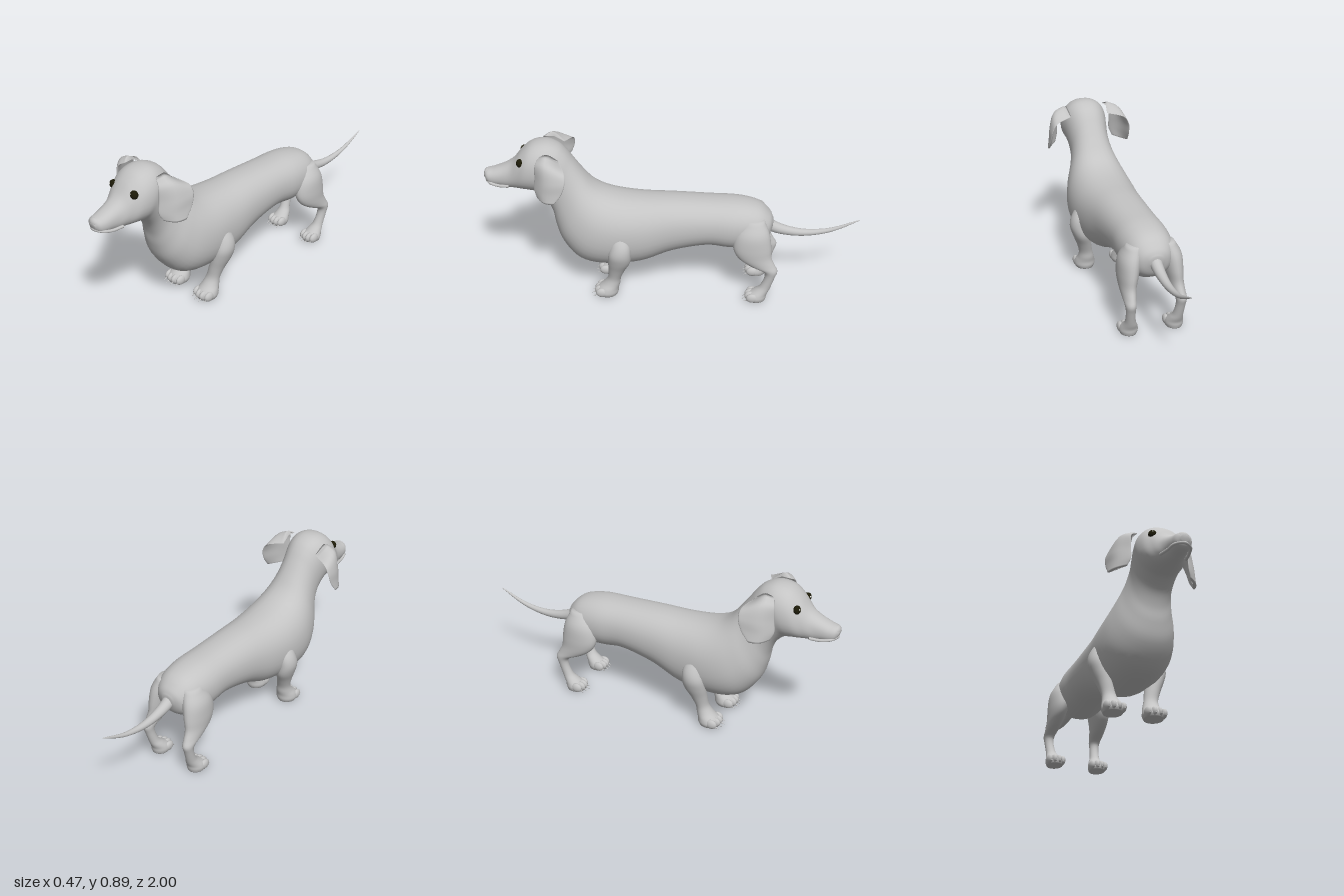
import * as THREE from 'three';

const coat = new THREE.MeshStandardMaterial({ color: 0xc4c4c4 });
coat.name = 'grey coat';
const eyeDark = new THREE.MeshStandardMaterial({ color: 0x1c1a08 });
eyeDark.name = 'dark eye';
const white = new THREE.MeshStandardMaterial({ color: 0xf2f2ec });
white.name = 'white glint';

const V = (x, y, z) => new THREE.Vector3(x, y, z);

// Closed smooth skin through rings of points, with rounded spline steps between rings
function loft(rings, steps) {
  const n = rings[0].length;
  const count = (rings.length - 1) * steps + 1;
  const columns = rings[0].map((_, j) => new THREE.CatmullRomCurve3(rings.map(r => r[j]), false, 'catmullrom', 0.5));
  const pos = [], index = [];
  for (let i = 0; i < count; i++) {
    for (let j = 0; j < n; j++) pos.push(...columns[j].getPoint(i / (count - 1)).toArray());
  }
  for (let i = 0; i < count - 1; i++) {
    for (let j = 0; j < n; j++) {
      const a = i * n + j, b = i * n + (j + 1) % n;
      index.push(a, b, a + n, b, b + n, a + n);
    }
  }
  // End caps
  for (const [row, flip] of [[0, true], [count - 1, false]]) {
    const c = V(0, 0, 0);
    for (let j = 0; j < n; j++) c.add(V().fromArray(pos, (row * n + j) * 3));
    c.divideScalar(n);
    const ci = pos.length / 3;
    pos.push(c.x, c.y, c.z);
    for (let j = 0; j < n; j++) {
      const a = row * n + j, b = row * n + (j + 1) % n;
      index.push(...(flip ? [ci, b, a] : [ci, a, b]));
    }
  }
  // Turn faces outwards if the signed volume is negative
  let volume = 0;
  const p = i => V().fromArray(pos, i * 3);
  for (let i = 0; i < index.length; i += 3) {
    volume += p(index[i]).dot(p(index[i + 1]).cross(p(index[i + 2])));
  }
  if (volume < 0) index.reverse();
  const g = new THREE.BufferGeometry();
  g.setAttribute('position', new THREE.Float32BufferAttribute(pos, 3));
  g.setIndex(index);
  g.computeVertexNormals();
  return g;
}

function add(parent, name, geometry, material = coat) {
  const m = new THREE.Mesh(geometry, material);
  m.name = name;
  parent.add(m);
  return m;
}

function ball(parent, name, c, r, material = coat) {
  const m = add(parent, name, new THREE.SphereGeometry(1, 20, 14), material);
  m.position.set(...c);
  m.scale.set(...r);
  return m;
}

// Ring spanning a top and a bottom point of the side profile: [zTop, yTop, zBottom, yBottom, halfWidth]
function profileRing([zt, yt, zb, yb, w]) {
  return Array.from({ length: 36 }, (_, j) => {
    const a = j / 36 * Math.PI * 2, c = Math.cos(a), s = Math.sin(a);
    const t = (1 - Math.sign(c) * Math.abs(c) ** 0.92) / 2;
    return V(Math.sign(s) * Math.abs(s) ** 0.88 * w, yt + (yb - yt) * t, zt + (zb - zt) * t);
  });
}

// Level ring of a leg: [y, x, z, radiusX, radiusZ]
const legRing = side => ([y, x, z, rx, rz]) => Array.from({ length: 24 }, (_, j) => {
  const a = j / 24 * Math.PI * 2;
  return V(side * (x + rx * Math.cos(a)), y, z + rz * Math.sin(a));
});

// Rump to nose
const BODY = [
  [-0.54, 0.45, -0.535, 0.40, 0.03], [-0.52, 0.49, -0.50, 0.33, 0.085],
  [-0.46, 0.54, -0.42, 0.29, 0.125], [-0.35, 0.565, -0.30, 0.29, 0.14],
  [-0.20, 0.57, -0.18, 0.30, 0.138], [0, 0.575, 0, 0.26, 0.15],
  [0.15, 0.575, 0.17, 0.19, 0.17], [0.27, 0.585, 0.36, 0.17, 0.185],
  [0.36, 0.61, 0.50, 0.20, 0.18], [0.42, 0.65, 0.59, 0.30, 0.155],
  [0.47, 0.71, 0.625, 0.40, 0.125], [0.52, 0.78, 0.64, 0.48, 0.11],
  [0.56, 0.835, 0.67, 0.55, 0.112], [0.60, 0.87, 0.72, 0.60, 0.12],
  [0.66, 0.89, 0.76, 0.612, 0.126], [0.73, 0.88, 0.80, 0.615, 0.116],
  [0.785, 0.84, 0.84, 0.615, 0.09], [0.835, 0.78, 0.88, 0.615, 0.069],
  [0.885, 0.747, 0.91, 0.62, 0.059], [0.945, 0.722, 0.95, 0.627, 0.052],
  [0.983, 0.712, 0.975, 0.637, 0.043], [1.0, 0.69, 0.992, 0.66, 0.02],
];

const FRONT_LEG = [
  [0.43, 0.135, 0.28, 0.02, 0.03], [0.36, 0.16, 0.27, 0.04, 0.05], [0.30, 0.166, 0.275, 0.046, 0.06],
  [0.24, 0.15, 0.28, 0.046, 0.06], [0.18, 0.13, 0.295, 0.041, 0.046], [0.12, 0.115, 0.31, 0.038, 0.036],
  [0.08, 0.11, 0.325, 0.045, 0.045], [0.05, 0.11, 0.345, 0.055, 0.057],
  [0.025, 0.11, 0.352, 0.058, 0.062], [0.006, 0.11, 0.352, 0.05, 0.055],
];

const HIND_LEG = [
  [0.49, 0.085, -0.44, 0.04, 0.05], [0.42, 0.108, -0.43, 0.056, 0.09], [0.34, 0.12, -0.43, 0.052, 0.102],
  [0.28, 0.127, -0.445, 0.043, 0.09], [0.235, 0.132, -0.485, 0.035, 0.07], [0.20, 0.136, -0.53, 0.029, 0.04],
  [0.16, 0.135, -0.53, 0.025, 0.028], [0.10, 0.13, -0.51, 0.027, 0.03], [0.07, 0.126, -0.49, 0.036, 0.04],
  [0.045, 0.125, -0.467, 0.046, 0.052], [0.025, 0.125, -0.46, 0.049, 0.056], [0.006, 0.125, -0.46, 0.043, 0.05],
];

// Ear rows from root to tip: front, middle and back points
const EAR = [
  [[0.11, 0.855, 0.68], [0.125, 0.87, 0.64], [0.11, 0.825, 0.58]],
  [[0.15, 0.825, 0.70], [0.185, 0.835, 0.64], [0.195, 0.805, 0.545]],
  [[0.155, 0.75, 0.705], [0.208, 0.755, 0.64], [0.225, 0.76, 0.54]],
  [[0.157, 0.69, 0.71], [0.21, 0.69, 0.65], [0.232, 0.70, 0.56]],
  [[0.172, 0.65, 0.695], [0.215, 0.643, 0.65], [0.236, 0.645, 0.60]],
];

function earRing(row, side) {
  const curve = new THREE.CatmullRomCurve3(row.map(p => V(...p)));
  return Array.from({ length: 24 }, (_, j) => {
    const a = j / 24 * Math.PI * 2;
    const p = curve.getPoint((1 - Math.cos(a)) / 2);
    p.addScaledVector(V(0.92, 0, 0.4), 0.009 * Math.sin(a));
    p.x *= side;
    return p;
  });
}

// Leg with four toes and claws on its paw
function makeLeg(parent, name, rings, side, x, z, width) {
  const leg = new THREE.Group();
  leg.name = name;
  parent.add(leg);
  add(leg, 'legAndPaw', loft(rings.map(legRing(side)), 4));
  for (let i = 0; i < 4; i++) {
    const u = (i - 1.5) / 1.5;
    const tx = side * x + u * width, tz = z - Math.abs(u) * 0.014;
    ball(leg, 'toe', [tx, 0.032, tz], [0.0165, 0.027, 0.032]);
    const claw = add(leg, 'claw', new THREE.ConeGeometry(0.006, 0.03, 8));
    claw.position.set(tx, 0.017, tz + 0.034);
    claw.rotation.x = Math.PI * 0.62;
  }
}

export function createModel() {
  const dog = new THREE.Group();
  dog.name = 'dog';

  add(dog, 'bodyAndHead', loft(BODY.map(profileRing), 5));

  // Tapering tail swept along a curve
  const path = new THREE.CatmullRomCurve3([
    V(0, 0.44, -0.48), V(0, 0.40, -0.54), V(0, 0.375, -0.62), V(0, 0.366, -0.72), V(0, 0.387, -0.85), V(0, 0.453, -1),
  ]);
  const tail = Array.from({ length: 16 }, (_, i) => {
    const t = i / 15, c = path.getPoint(t), d = path.getTangent(t), r = 0.035 * (1 - t) ** 0.8 + 0.002;
    const up = V(0, -d.z, d.y);
    return Array.from({ length: 16 }, (_, j) => {
      const a = j / 16 * Math.PI * 2;
      return c.clone().addScaledVector(up, r * Math.sin(a)).add(V(r * Math.cos(a), 0, 0));
    });
  });
  add(dog, 'tail', loft(tail, 2));

  // Nose and lip line
  ball(dog, 'nose', [0, 0.691, 0.977], [0.034, 0.024, 0.022]);
  const lip = new THREE.CatmullRomCurve3([
    V(-0.068, 0.645, 0.86), V(-0.056, 0.642, 0.92), V(-0.042, 0.65, 0.965), V(0, 0.655, 0.988),
    V(0.042, 0.65, 0.965), V(0.056, 0.642, 0.92), V(0.068, 0.645, 0.86),
  ]);
  add(dog, 'upperLip', new THREE.TubeGeometry(lip, 40, 0.008, 8));

  for (const side of [1, -1]) {
    const label = side > 0 ? 'left' : 'right';
    add(dog, label + 'Ear', loft(EAR.map(row => earRing(row, side)), 6));
    ball(dog, label + 'Eye', [side * 0.076, 0.793, 0.79], [0.022, 0.023, 0.02], eyeDark);
    ball(dog, label + 'EyeGlint', [side * 0.076 - 0.007, 0.801, 0.807], [0.004, 0.004, 0.004], white);
    makeLeg(dog, label + 'FrontLeg', FRONT_LEG, side, 0.11, 0.393, 0.043);
    makeLeg(dog, label + 'HindLeg', HIND_LEG, side, 0.125, -0.425, 0.036);
  }
  return dog;
}
